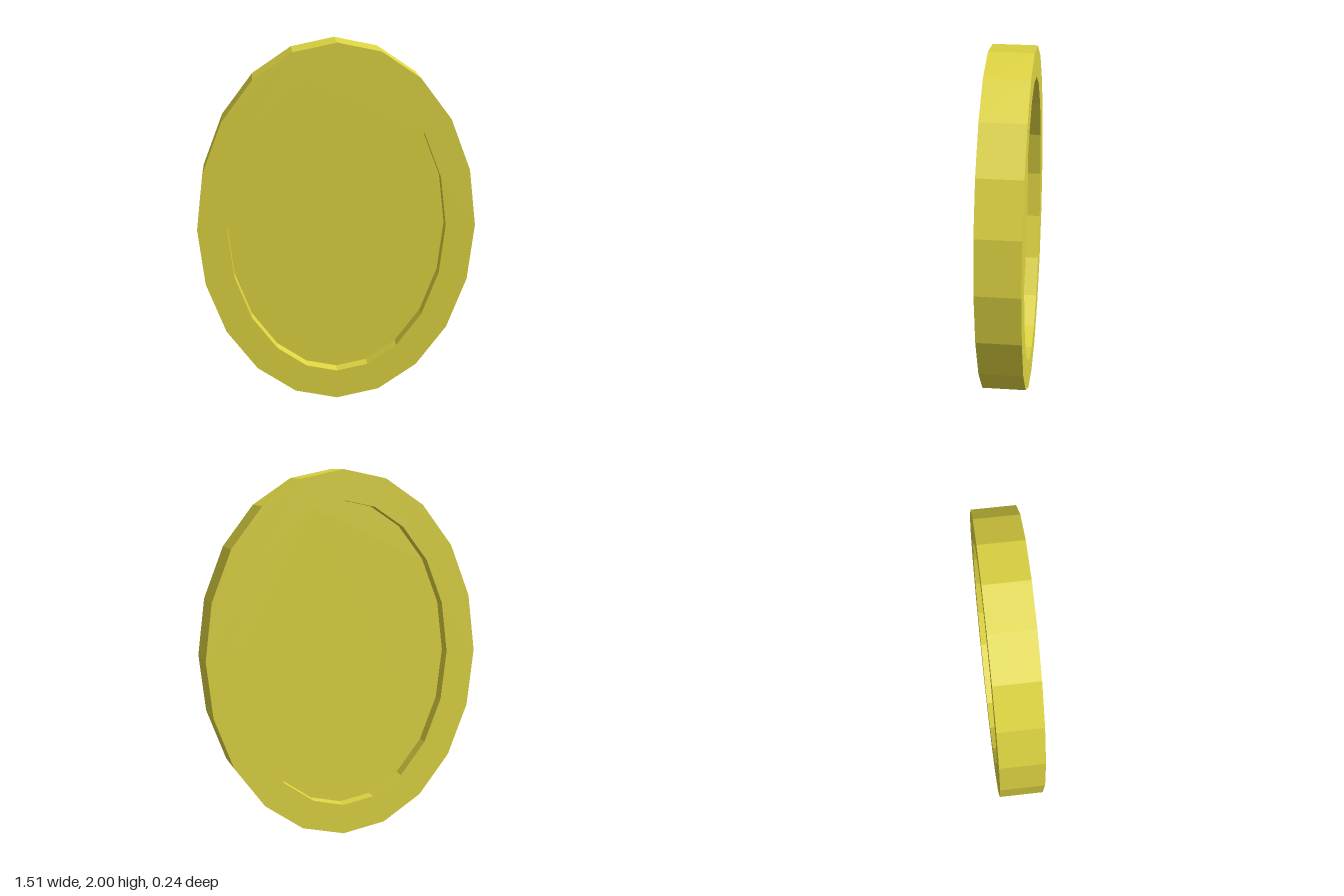
import * as THREE from 'three';

const SIDES = 20, RX = 0.755, RY = 1, HALF = 0.12, RIM = 0.16, FLOOR = 0.045;

// Faceted oval outline, counter-clockwise
function oval() {
  return Array.from({ length: SIDES }, (_, i) => {
    const a = (i / SIDES) * Math.PI * 2;
    return new THREE.Vector2(RX * Math.cos(a), RY * Math.sin(a));
  });
}

// Move every edge inwards by the same distance, with mitred corners
function inset(points, distance) {
  const n = points.length;
  const normal = (a, b) => new THREE.Vector2(b.y - a.y, a.x - b.x).normalize();
  return points.map((p, i) => {
    const n1 = normal(points[(i + n - 1) % n], p);
    const n2 = normal(p, points[(i + 1) % n]);
    const miter = n1.clone().add(n2).multiplyScalar(distance / (1 + n1.dot(n2)));
    return p.clone().sub(miter);
  });
}

export function createModel() {
  const group = new THREE.Group();
  group.name = 'coin';
  const gold = new THREE.MeshStandardMaterial({ color: 0xe0d642, flatShading: true });
  const outer = oval();
  const inner = inset(outer, RIM);

  // Raised rim running through the full thickness
  const ring = new THREE.Shape(outer);
  ring.holes.push(new THREE.Path(inner));
  const rimGeometry = new THREE.ExtrudeGeometry(ring, { depth: HALF * 2, bevelEnabled: false });
  rimGeometry.translate(0, 0, -HALF);
  const rim = new THREE.Mesh(rimGeometry, gold);
  rim.name = 'rim';
  rim.position.y = RY;
  group.add(rim);

  // Recessed face on each side
  for (const [name, side] of [['frontFace', 1], ['backFace', -1]]) {
    const face = new THREE.Mesh(new THREE.ShapeGeometry(new THREE.Shape(inner)), gold);
    face.name = name;
    face.position.set(0, RY, side * FLOOR);
    if (side < 0) face.rotation.y = Math.PI;
    group.add(face);
  }
  return group;
}
